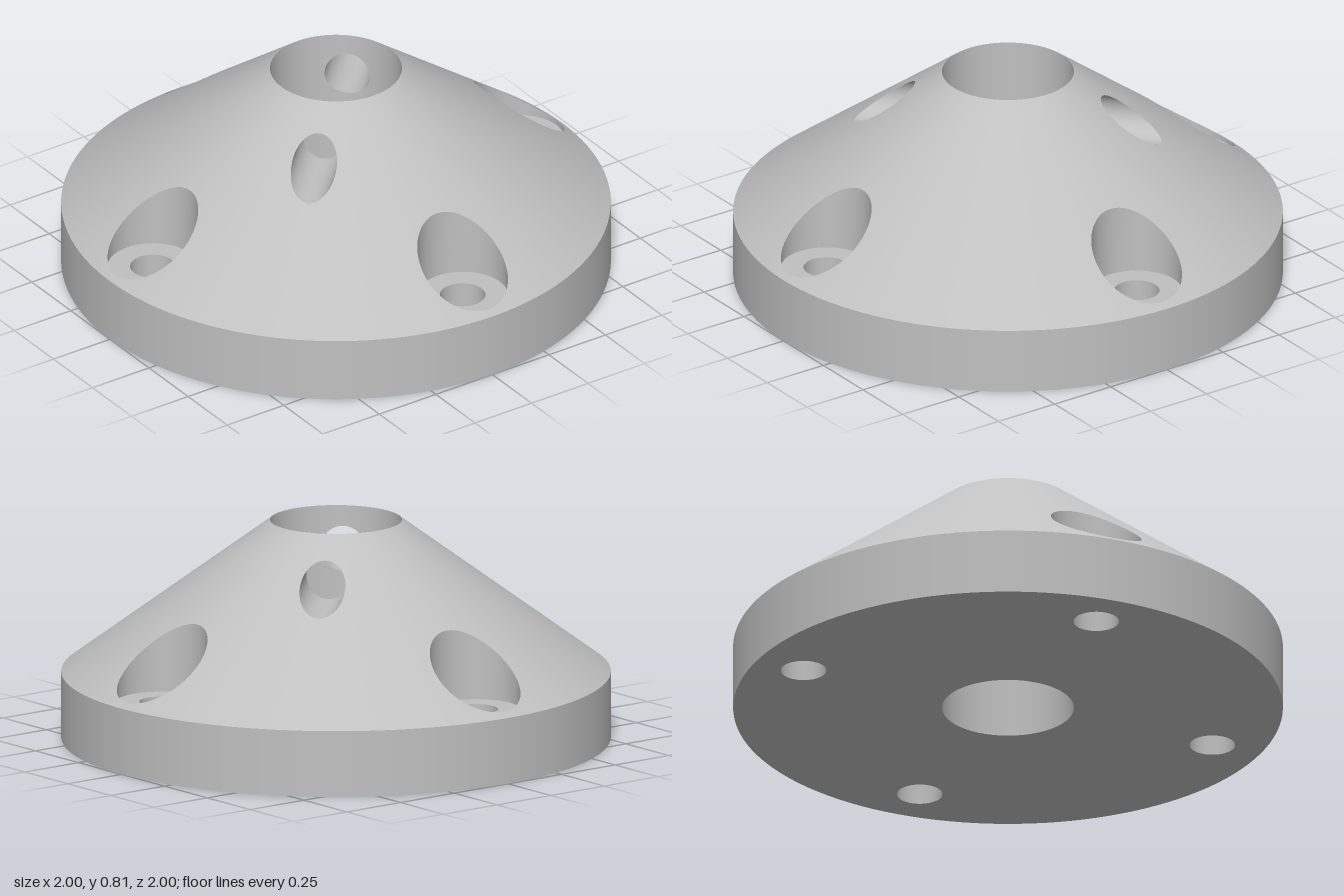
import * as THREE from 'three';
import { mergeGeometries, mergeVertices } from 'three/addons/utils/BufferGeometryUtils.js';

const BASE_H = 0.245, TOP = 0.81, R_OUT = 1, R_BORE = 0.24;
const BOLT_R = 0.81, SINK = 0.165, BOLT = 0.083;      // counterbored bolt holes
const SIDE_Y = 0.65, SIDE = 0.083;                    // horizontal side holes
const STEPS = 16, N = STEPS * 4, HALF = Math.PI / 8;
const SLOPE = (TOP - BASE_H) / (R_OUT - R_BORE);

const coneY = r => BASE_H + (R_OUT - r) * SLOPE;
const coneR = y => R_OUT - (y - BASE_H) / SLOPE;
const boreR = () => R_BORE;
const polar = (a, y, r) => new THREE.Vector3(r * Math.sin(a), y, r * Math.cos(a));
const lerp = THREE.MathUtils.lerp;
const range = (n, f) => Array.from({ length: n }, (_, i) => f(i));
// hole loops start at the lower right-angle diagonal so they match sector corners
const loop = f => range(N + 1, i => f((i / N) * 2 * Math.PI - 0.75 * Math.PI));

// Skin a series of rows of points
function loft(rows) {
  const w = rows[0].length, index = [];
  for (let j = 0; j < rows.length - 1; j++)
    for (let i = 0; i < w - 1; i++) {
      const a = j * w + i, d = a + w;
      index.push(a, d, a + 1, a + 1, d, d + 1);
    }
  const g = new THREE.BufferGeometry().setFromPoints(rows.flat());
  g.setIndex(index);
  return g;
}

function join(parts) {
  const g = mergeVertices(mergeGeometries(parts), 1e-4);
  g.computeVertexNormals();
  return g;
}

// Outline of a sector as [angle, height], anticlockwise from the lower left
function sectorOutline(y0, y1) {
  return range(N + 1, i => {
    const side = Math.floor(i / STEPS) % 4, t = (i % STEPS) / STEPS;
    return [
      [lerp(-HALF, HALF, t), y0], [HALF, lerp(y0, y1, t)],
      [lerp(HALF, -HALF, t), y1], [-HALF, lerp(y1, y0, t)],
    ][side];
  });
}

// Sector of a turned wall, either plain or with a hole through it
function sector(turn, radius, y0, y1, hole, inward) {
  let rows;
  if (hole) {
    const edge = sectorOutline(y0, y1);
    rows = range(9, j => hole.map(([a, y], i) => {
      const h = lerp(y, edge[i][1], j / 8);
      return polar(turn + lerp(a, edge[i][0], j / 8), h, radius(h));
    }));
  } else {
    rows = range(STEPS + 1, j => range(STEPS + 1, i => {
      const h = lerp(y0, y1, i / STEPS);
      return polar(turn + lerp(-HALF, HALF, j / STEPS), h, radius(h));
    }));
  }
  return loft(inward ? rows.reverse() : rows);
}

// Hole outlines on the walls
const sinkEdge = loop(p => {
  const t = SINK * Math.cos(p), d = BOLT_R - SINK * Math.sin(p);
  return [Math.atan2(t, d), coneY(Math.hypot(t, d))];
});
const sideEdge = radius => loop(p => {
  const y = SIDE_Y + SIDE * Math.sin(p);
  return [Math.asin(SIDE * Math.cos(p) / radius(y)), y];
});
const sideOuter = sideEdge(coneR), sideInner = sideEdge(boreR);

const onWall = (edge, radius, turn) => edge.map(([a, y]) => polar(turn + a, y, radius(y)));
const boltCircle = (r, y, turn) => loop(p =>
  new THREE.Vector3(r * Math.cos(p), y, BOLT_R - r * Math.sin(p))
    .applyAxisAngle(new THREE.Vector3(0, 1, 0), turn));

export function createModel() {
  const model = new THREE.Group();
  const grey = new THREE.MeshStandardMaterial({ color: 0xc0c0c0 });
  grey.name = 'grey';
  const add = (name, geometry) => {
    const mesh = new THREE.Mesh(geometry, grey);
    mesh.name = name;
    model.add(mesh);
  };

  // Conical body and central bore, in eight sectors
  const cone = [], bore = [];
  for (let k = 0; k < 8; k++) {
    const turn = k * Math.PI / 4;
    const hasSide = k === 3 || k === 7;
    cone.push(sector(turn, coneR, BASE_H, TOP, k % 2 === 0 ? sinkEdge : hasSide && sideOuter, false));
    bore.push(sector(turn, boreR, 0.5, TOP, hasSide && sideInner, true));
    bore.push(sector(turn, boreR, 0, 0.5, null, true));
  }
  add('cone', join(cone));
  add('centralBore', join(bore));

  // Rim of the base
  const rim = new THREE.CylinderGeometry(R_OUT, R_OUT, BASE_H, 128, 1, true);
  rim.translate(0, BASE_H / 2, 0);
  add('baseRim', rim);

  // Underside with its five openings
  const disc = new THREE.Shape().absarc(0, 0, R_OUT, 0, Math.PI * 2);
  const opening = (x, y, r) => disc.holes.push(new THREE.Path().absarc(x, y, r, 0, Math.PI * 2, true));
  opening(0, 0, R_BORE);
  for (const s of [-1, 1]) {
    opening(s * BOLT_R, 0, BOLT);
    opening(0, s * BOLT_R, BOLT);
  }
  const under = new THREE.ShapeGeometry(disc, 64);
  under.rotateX(Math.PI / 2);
  add('underside', under);

  // Counterbored bolt holes
  for (let k = 0; k < 4; k++) {
    const turn = k * Math.PI / 2;
    add('counterboreWall', join([loft([boltCircle(SINK, BASE_H, turn), onWall(sinkEdge, coneR, turn)])]));
    add('counterboreSeat', join([loft([boltCircle(BOLT, BASE_H, turn), boltCircle(SINK, BASE_H, turn)])]));
    add('boltHole', join([loft([boltCircle(BOLT, 0, turn), boltCircle(BOLT, BASE_H, turn)])]));
  }

  // Side holes running into the central bore
  for (const k of [3, 7]) {
    const turn = k * Math.PI / 4;
    add('sideHole', join([loft([onWall(sideInner, boreR, turn), onWall(sideOuter, coneR, turn)])]));
  }
  return model;
}
